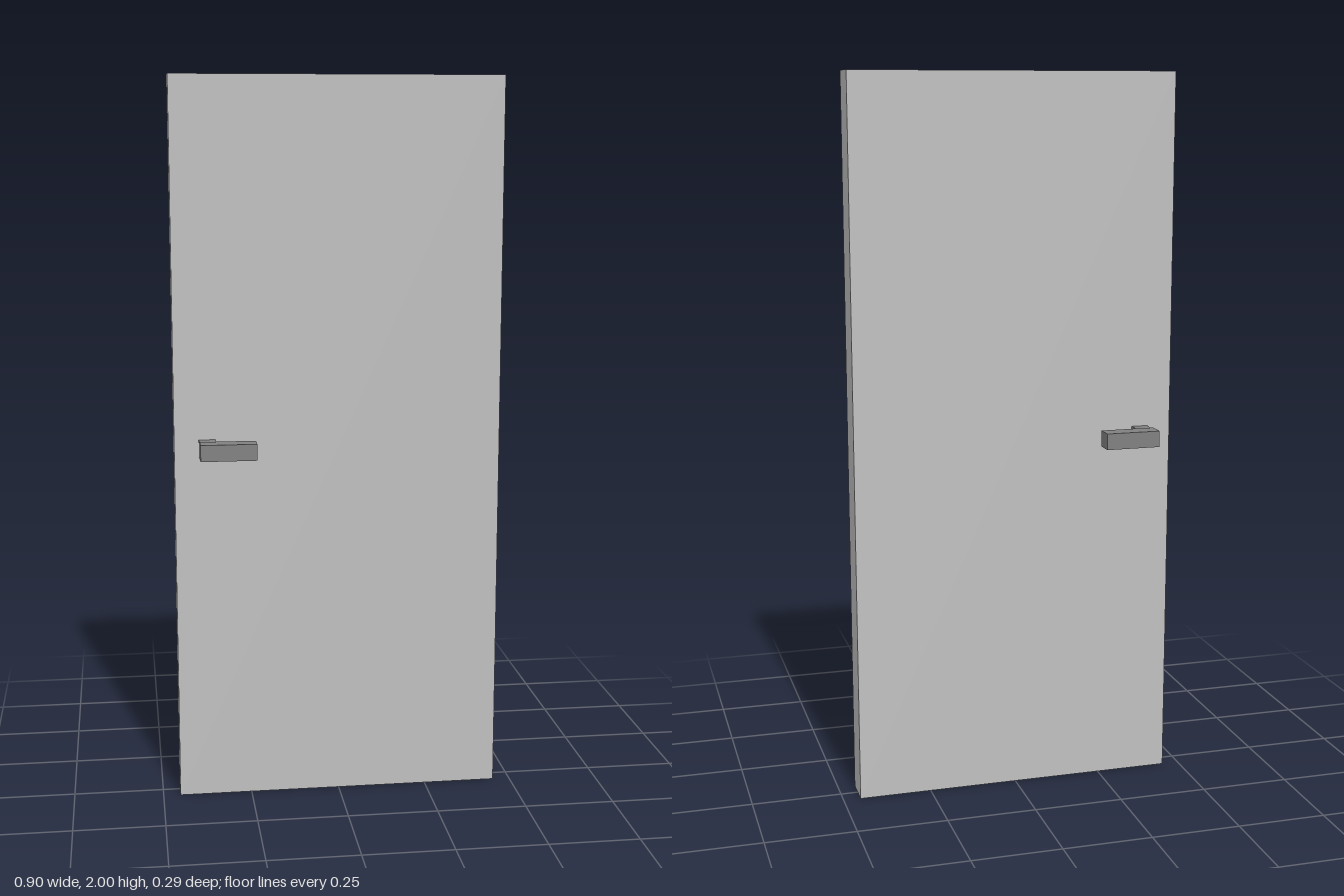
import * as THREE from 'three';

export function createModel() {
  const group = new THREE.Group();
  const doorGrey = new THREE.MeshStandardMaterial({ color: 0xbfbfbf });
  doorGrey.name = 'doorGrey';
  const handleGrey = new THREE.MeshStandardMaterial({ color: 0x808080 });
  handleGrey.name = 'handleGrey';

  // Box given by its lower and upper corners
  function box(name, material, min, max, parent) {
    const size = max.map((v, i) => v - min[i]);
    const mesh = new THREE.Mesh(new THREE.BoxGeometry(...size), material);
    mesh.position.set(...max.map((v, i) => (v + min[i]) / 2));
    mesh.name = name;
    parent.add(mesh);
  }

  // Door slab
  box('doorPanel', doorGrey, [-0.452, 0, -0.045], [0.452, 2, 0.045], group);

  // A lever handle on each face: stem out of the door, lever along it
  for (const [name, side] of [['frontHandle', 1], ['backHandle', -1]]) {
    const handle = new THREE.Group();
    handle.name = name;
    const span = (a, b) => (side > 0 ? [a, b] : [-b, -a]);
    const [s0, s1] = span(0.045, 0.097);
    const [l0, l1] = span(0.097, 0.147);
    box('stem', handleGrey, [-0.385, 0.978, s0], [-0.34, 1.024, s1], handle);
    box('lever', handleGrey, [-0.385, 0.983, l0], [-0.233, 1.028, l1], handle);
    group.add(handle);
  }
  return group;
}
